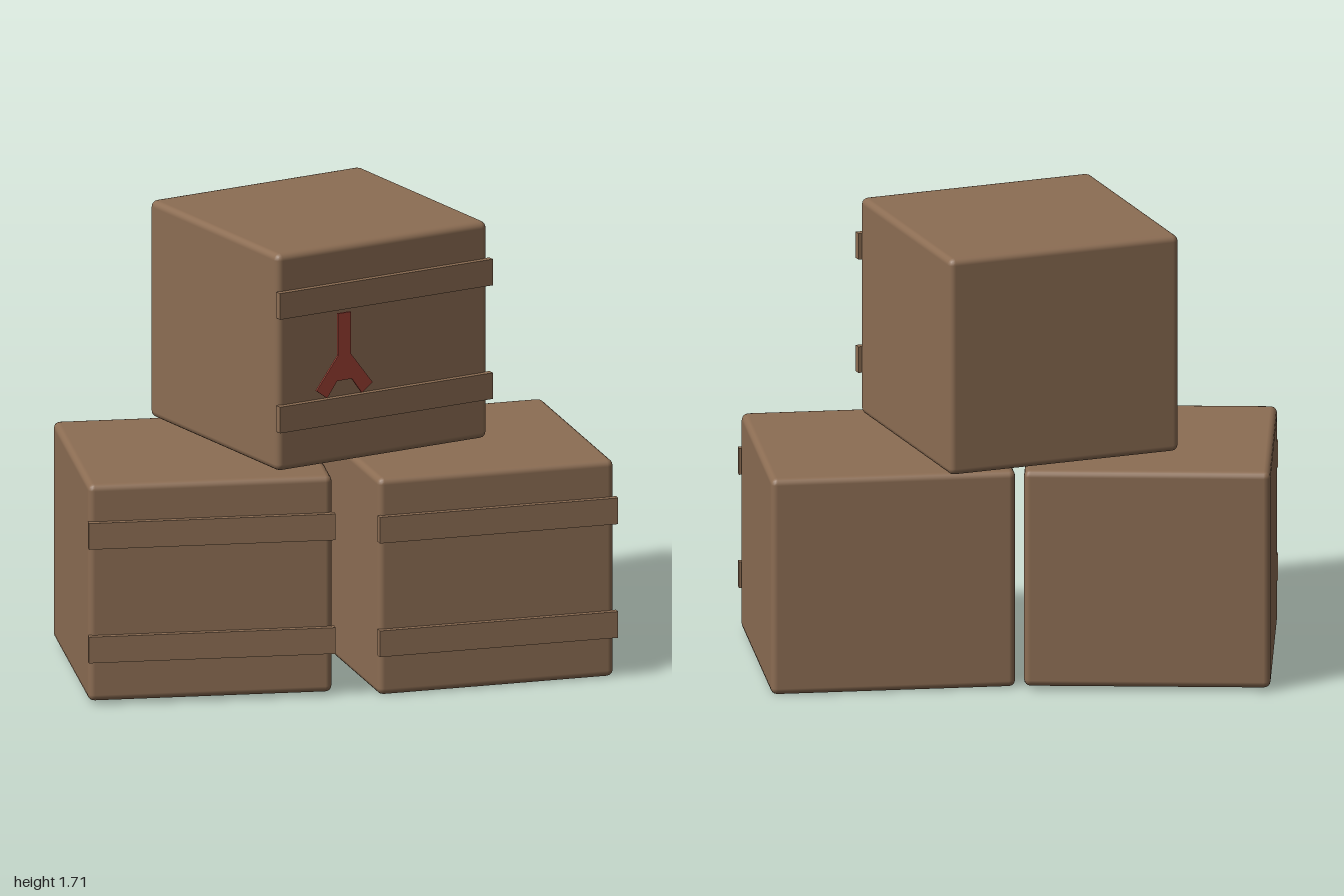
import * as THREE from 'three';
import { RoundedBoxGeometry } from 'three/addons/geometries/RoundedBoxGeometry.js';

const wood = new THREE.MeshStandardMaterial({ color: 0x8c6d53 });
wood.name = 'brown wood';
const paint = new THREE.MeshStandardMaterial({ color: 0xa04236 });
paint.name = 'red paint';

const SIZE = 0.91, HEIGHT = 0.83;

// A crate with softened edges and two slats across its front; origin at its base
function createCrate(name, x, y, z, turn) {
  const crate = new THREE.Group();
  crate.name = name;
  crate.position.set(x, y, z);
  crate.rotation.y = THREE.MathUtils.degToRad(turn);

  const body = new THREE.Mesh(new RoundedBoxGeometry(SIZE, HEIGHT, SIZE, 2, 0.025), wood);
  body.name = 'crateBody';
  body.position.y = HEIGHT / 2;
  crate.add(body);

  for (const [slatName, slatY] of [['lowerSlat', 0.205], ['upperSlat', 0.64]]) {
    const slat = new THREE.Mesh(new THREE.BoxGeometry(0.92, 0.1, 0.028), wood);
    slat.name = slatName;
    slat.position.set(0.003, slatY, 0.464);
    crate.add(slat);
  }
  return crate;
}

// Forked mark: a stem that splits into two legs, mirrored about its centre line
function createMark() {
  const half = [[0.027, 0.58], [0.027, 0.42], [0.121, 0.297], [0.075, 0.263], [0.032, 0.323]];
  const mirrored = half.map(([x, y]) => [-x, y]).reverse();
  const shape = new THREE.Shape([...half, ...mirrored].map(([x, y]) => new THREE.Vector2(x, y)));
  const mark = new THREE.Mesh(
    new THREE.ExtrudeGeometry(shape, { depth: 0.008, bevelEnabled: false }), paint);
  mark.name = 'forkedMark';
  mark.position.set(-0.184, 0, 0.479);
  return mark;
}

export function createModel() {
  const model = new THREE.Group();
  model.name = 'crateStack';

  const topCrate = createCrate('topCrate', -0.06, 0.882, -0.005, 23.5);
  topCrate.add(createMark());

  model.add(
    createCrate('rightCrate', -0.54, 0.012, 0.075, 0.5),
    createCrate('leftCrate', 0.463, 0, 0.03, 9.2),
    topCrate
  );
  return model;
}
